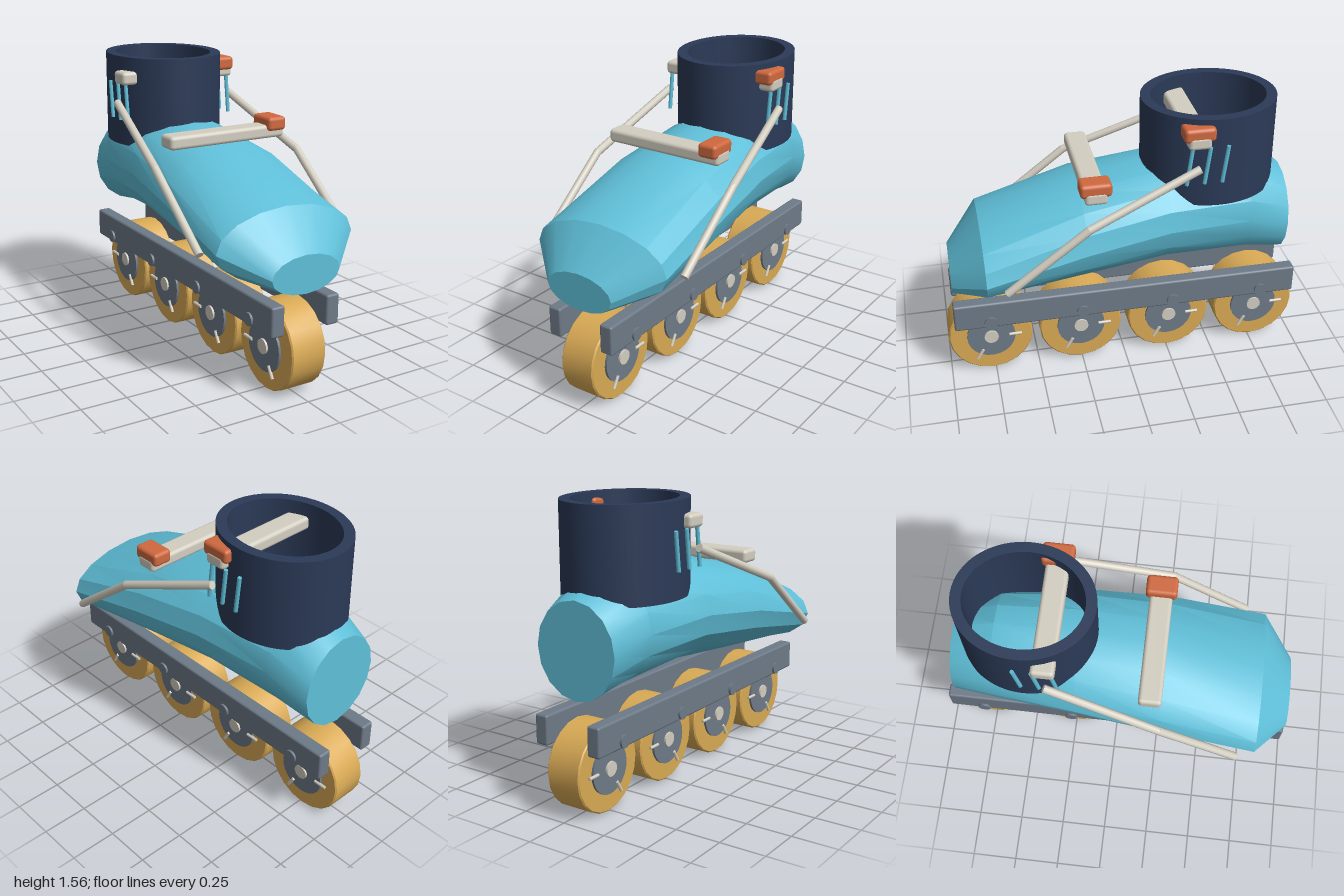
import * as THREE from 'three';
import { toCreasedNormals } from 'three/addons/utils/BufferGeometryUtils.js';
import { RoundedBoxGeometry } from 'three/addons/geometries/RoundedBoxGeometry.js';

function material(name, color, side = THREE.FrontSide) {
  const m = new THREE.MeshStandardMaterial({ color, side });
  m.name = name;
  return m;
}

// Closed loft through elliptical sections [z, bottom, top, halfWidth], front to back
function loft(sections, sides) {
  const pos = [], index = [];
  for (const [z, lo, hi, w] of sections) {
    for (let i = 0; i < sides; i++) {
      const a = (i / sides) * Math.PI * 2;
      pos.push(Math.cos(a) * w, (lo + hi) / 2 + Math.sin(a) * (hi - lo) / 2, z);
    }
  }
  const last = sections.length - 1;
  const capFront = sections.length * sides, capBack = capFront + 1;
  for (const s of [sections[0], sections[last]]) pos.push(0, (s[1] + s[2]) / 2, s[0]);
  for (let i = 0; i < sides; i++) {
    const j = (i + 1) % sides;
    for (let k = 0; k < last; k++) {
      const a = k * sides + i, b = k * sides + j;
      index.push(a, a + sides, b, b, a + sides, b + sides);
    }
    index.push(capFront, i, j, capBack, last * sides + j, last * sides + i);
  }
  const g = new THREE.BufferGeometry();
  g.setAttribute('position', new THREE.Float32BufferAttribute(pos, 3));
  g.setIndex(index);
  return toCreasedNormals(g, 0.42);
}

export function createModel() {
  const cyan = material('cyan shell', 0x5fbfd8);
  const navy = material('navy cuff', 0x2b3a57);
  const grey = material('grey metal', 0x6e7a88);
  const amber = material('amber tyre', 0xd9aa55);
  const cream = material('cream strap', 0xd3cec1);
  const orange = material('orange buckle', 0xd0693f);

  const model = new THREE.Group();
  model.name = 'inlineSkate';

  const add = (name, geometry, mat, x = 0, y = 0, z = 0, parent = model) => {
    const m = new THREE.Mesh(geometry, mat);
    m.name = name;
    m.position.set(x, y, z);
    parent.add(m);
    return m;
  };
  const box = (name, mat, size, at, r = 0.015) =>
    add(name, new RoundedBoxGeometry(...size, 2, r), mat, ...at);
  // Straight round bar between two points
  const bar = (name, mat, from, to, r, sides = 10, parent = model) => {
    const a = new THREE.Vector3(...from), b = new THREE.Vector3(...to);
    const d = b.clone().sub(a);
    const m = add(name, new THREE.CylinderGeometry(r, r, d.length(), sides), mat, 0, 0, 0, parent);
    m.position.copy(a).add(b).multiplyScalar(0.5);
    m.quaternion.setFromUnitVectors(new THREE.Vector3(0, 1, 0), d.normalize());
    return m;
  };

  // Boot shell
  add('bootShell', loft([
    [0.955, 0.56, 0.76, 0.2],
    [0.78, 0.585, 0.96, 0.405],
    [0.25, 0.625, 1.155, 0.385],
    [-0.2, 0.665, 1.23, 0.345],
    [-0.65, 0.64, 1.22, 0.29],
    [-0.88, 0.6, 1.11, 0.24],
  ], 16), cyan);

  // Hollow oval ankle cuff
  const outline = new THREE.Shape().absellipse(0, 0, 0.312, 0.36, 0, Math.PI * 2);
  outline.holes.push(new THREE.Path().absellipse(0, 0, 0.257, 0.305, 0, Math.PI * 2, true));
  const cuff = new THREE.ExtrudeGeometry(outline, { depth: 0.495, bevelEnabled: false, curveSegments: 32 });
  cuff.rotateX(-Math.PI / 2);
  add('ankleCuff', toCreasedNormals(cuff, 0.6), navy, 0, 1.07, -0.465);

  // Straps and buckles
  for (const [part, y, z] of [['upper', 1.455, -0.335], ['instep', 1.2, 0.195]]) {
    box(part + 'Strap', cream, [0.695, 0.072, 0.12], [0, y, z], 0.02);
    box(part + 'Buckle', orange, [0.11, 0.075, 0.165], [0.29, y + 0.042, z], 0.02);
  }

  for (const s of [-1, 1]) {
    const side = s > 0 ? 'left' : 'right';

    // Bent side brace
    const top = [s * 0.357, 1.32, -0.335], bend = [s * 0.437, 1.083, 0.25], end = [s * 0.435, 0.752, 0.68];
    bar(side + 'BraceUpper', cream, top, bend, 0.022);
    bar(side + 'BraceLower', cream, bend, end, 0.022);
    add(side + 'BraceJoint', new THREE.SphereGeometry(0.022, 10, 8), cream, ...bend);

    // Lace bars on the cuff
    for (let i = 0; i < 3; i++) {
      const z = -0.28 - i * 0.094;
      bar(side + 'Lace', cyan, [s * 0.322, 1.42, z - 0.02], [s * 0.322, 1.215, z + 0.005], 0.011, 8);
    }

    // Frame rail
    box(side + 'Rail', grey, [0.075, 0.16, 1.925], [s * 0.163, 0.447, 0], 0.012);
  }

  // Wheels with axle, hubs, caps and spokes
  const tyreProfile = [[0, -0.1], [0.228, -0.1], [0.235, -0.093], [0.235, 0.093], [0.228, 0.1], [0, 0.1]]
    .map(p => new THREE.Vector2(...p));
  const tyre = toCreasedNormals(new THREE.LatheGeometry(tyreProfile, 20).rotateZ(Math.PI / 2), 0.5);
  for (let i = 0; i < 4; i++) {
    const z = 0.765 - i * 0.51;
    const wheel = new THREE.Group();
    wheel.name = 'wheel';
    wheel.position.set(0, 0.24, z);
    model.add(wheel);
    add('tyre', tyre, amber, 0, 0, 0, wheel);
    bar('hub', grey, [-0.113, 0, 0], [0.113, 0, 0], 0.135, 24, wheel);
    bar('hubCap', cream, [-0.124, 0, 0], [0.124, 0, 0], 0.04, 16, wheel);
    for (const s of [-1, 1]) {
      for (let k = 0; k < 3; k++) {
        const a = (k / 3) * Math.PI * 2, c = -Math.cos(a), d = Math.sin(a);
        bar('spoke', cream, [s * 0.115, d * 0.1, c * 0.1], [s * 0.115, d * 0.17, c * 0.17], 0.009, 8, wheel);
      }
    }
    bar('axle', grey, [-0.213, 0.405, z], [0.213, 0.405, z], 0.035, 16);
  }

  return model;
}
